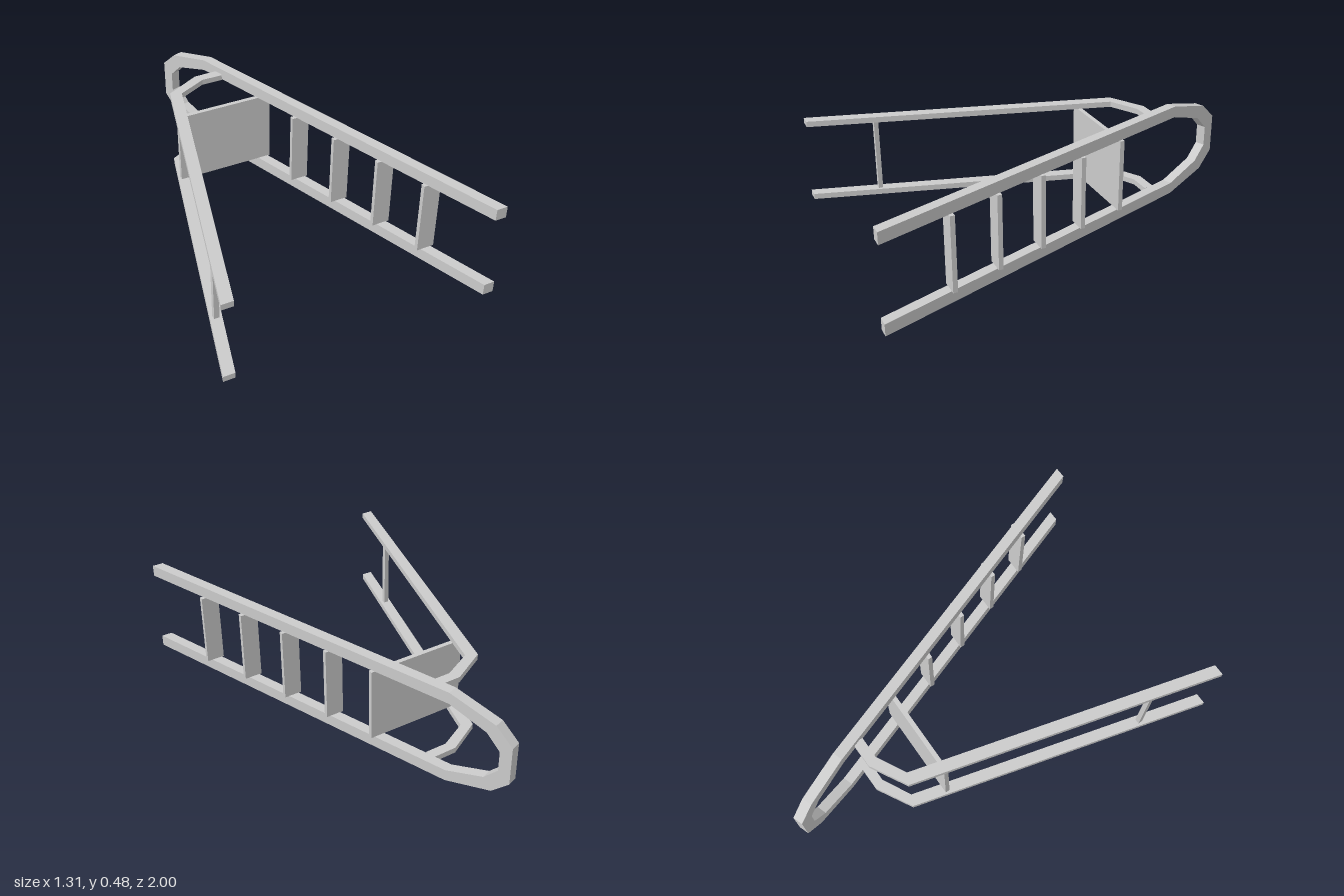
import * as THREE from 'three';

const material = new THREE.MeshStandardMaterial({ color: 0xcccccc, flatShading: true });
const MID_Y = 0.239; // the ladder lies on its side, symmetric about this height

function add(parent, name, geometry) {
  const mesh = new THREE.Mesh(geometry, material);
  mesh.name = name;
  parent.add(mesh);
  return mesh;
}

function extrude(points, depth) {
  const shape = new THREE.Shape(points.map(([a, b]) => new THREE.Vector2(a, b)));
  return new THREE.ExtrudeGeometry(shape, { depth, bevelEnabled: false });
}

// Hoop-shaped climbing frame, drawn as (distance from foot, half width)
function climbingFrame() {
  const outer = [[0, 0.239], [1.797, 0.239], [2.032, 0.176], [2.117, 0.096]];
  const inner = [[0, 0.182], [1.797, 0.182], [1.99, 0.12], [2.058, 0.05]];
  const mirror = (list) => list.map(([u, v]) => [u, -v]);
  const outline = [
    ...outer, ...mirror(outer).reverse(),
    ...mirror(inner), ...inner.slice().reverse(),
  ];
  const geometry = extrude(outline, 0.05).translate(0, 0, -0.025);

  // Cut the feet level with the floor the ladder would stand on
  const slope = 0.36;
  const pos = geometry.attributes.position;
  for (let i = 0; i < pos.count; i++) {
    if (Math.abs(pos.getX(i)) < 1e-4) pos.setX(i, -pos.getZ(i) * slope);
  }
  geometry.rotateY(Math.atan2(1, -slope)).translate(0.628, MID_Y, 1);
  geometry.computeVertexNormals();
  return geometry;
}

// Rear rail with a bent top, drawn as (x, z)
function rearRail() {
  const outline = [
    [-0.655, 0.985], [-0.265, -0.5], [-0.09, -0.598], [0.038, -0.6],
    [0.038, -0.55], [-0.07, -0.55], [-0.212, -0.475], [-0.6, 0.985],
  ];
  return extrude(outline, 0.028).rotateX(Math.PI / 2).translate(0, 0.014, 0);
}

export function createModel() {
  const ladder = new THREE.Group();
  ladder.name = 'stepladder';

  add(ladder, 'climbingFrame', climbingFrame());

  // Treads between the climbing rails
  for (let i = 0; i < 4; i++) {
    add(ladder, 'tread', new THREE.BoxGeometry(0.088, 0.366, 0.022))
      .position.set(0.508 - 0.09 * i, MID_Y, 0.66 - 0.245 * i);
  }

  // Platform joining the two frames
  add(ladder, 'platform', new THREE.BoxGeometry(0.492, 0.366, 0.022))
    .position.set(-0.053, MID_Y, -0.322);

  // Rear support
  const rear = new THREE.Group();
  rear.name = 'rearSupport';
  ladder.add(rear);
  for (const side of [-1, 1]) {
    add(rear, 'rearRail', rearRail()).position.y = MID_Y + side * 0.196;
  }
  add(rear, 'rearCrossbar', new THREE.BoxGeometry(0.025, 0.366, 0.022))
    .position.set(-0.542, MID_Y, 0.66);

  return ladder;
}
